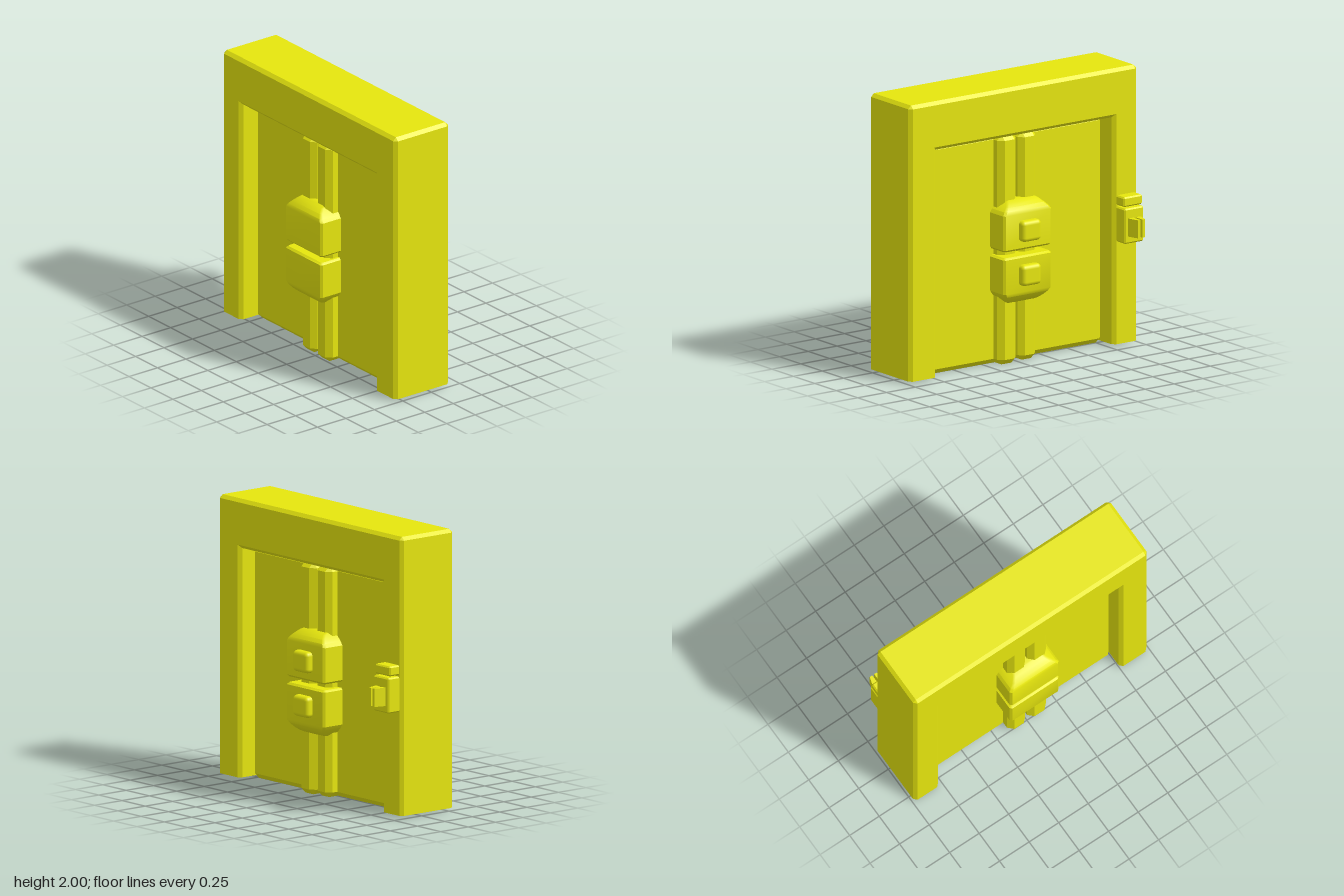
import * as THREE from 'three';
import { toCreasedNormals } from 'three/addons/utils/BufferGeometryUtils.js';
import { RoundedBoxGeometry } from 'three/addons/geometries/RoundedBoxGeometry.js';
import { ConvexGeometry } from 'three/addons/geometries/ConvexGeometry.js';

const yellow = new THREE.MeshStandardMaterial({ color: 0xe6e60e, side: THREE.DoubleSide });
yellow.name = 'yellow';

const MID_Z = 0.0675; // middle of the wall thickness

// Skin over a list of rings (arrays of Vector3), optionally closed at the ends
function loft(rings, capped, crease) {
  const p = [];
  const tri = (a, b, c) => {
    if (a.equals(b) || b.equals(c) || c.equals(a)) return;
    for (const q of [a, b, c]) p.push(q.x, q.y, q.z);
  };
  const n = rings[0].length;
  for (let i = 0; i < rings.length - 1; i++) {
    for (let j = 0; j < n; j++) {
      const k = (j + 1) % n;
      const [a, b, c, d] = [rings[i][j], rings[i][k], rings[i + 1][k], rings[i + 1][j]];
      tri(a, b, c);
      tri(a, c, d);
    }
  }
  if (capped) {
    const lo = rings[0], hi = rings[rings.length - 1];
    for (let j = 1; j < n - 1; j++) {
      tri(lo[0], lo[j + 1], lo[j]);
      tri(hi[0], hi[j], hi[j + 1]);
    }
  }
  const g = new THREE.BufferGeometry();
  g.setAttribute('position', new THREE.Float32BufferAttribute(p, 3));
  g.computeVertexNormals();
  return crease ? toCreasedNormals(g, crease) : g;
}

// Box given by its limits, with every edge chamfered by c
function chamferBox(x0, x1, y0, y1, z0, z1, c) {
  const h = [(x1 - x0) / 2, (y1 - y0) / 2, (z1 - z0) / 2];
  const pts = [];
  for (const sx of [-1, 1]) for (const sy of [-1, 1]) for (const sz of [-1, 1]) {
    for (let k = 0; k < 3; k++) {
      const e = h.map((v, i) => (i === k ? v : v - c));
      pts.push(new THREE.Vector3(sx * e[0], sy * e[1], sz * e[2]));
    }
  }
  return new ConvexGeometry(pts).translate((x0 + x1) / 2, (y0 + y1) / 2, (z0 + z1) / 2);
}

// Bevelled section swept up one post, across the lintel and down the other
function frameGeometry() {
  const X = 0.9875, T = 2, B = 0.024, back = -0.173, front = 0.307;
  // each point: fraction towards the opening, bevel inset, depth
  const section = [
    [1, 0, back + B], [1, -B, back], [0, B, back], [0, 0, back + B],
    [0, 0, front - B], [0, B, front], [1, -B, front], [1, 0, front - B],
  ];
  // cutX and cutY trim the outermost corner only
  const station = (side, cutX, cutY, foot) => section.map(([f, b, z]) => {
    const outer = f === 0 && b === 0 ? B : 0;
    const x = side * (X - b - f * (side < 0 ? 0.2125 : 0.2345) - cutX * outer);
    return new THREE.Vector3(x, foot ? 0.02 : T - b - f * 0.35 - cutY * outer, z);
  });
  return loft([
    station(-1, 0, 0, true), station(-1, 0, 1), station(-1, 1, 0),
    station(1, 1, 0), station(1, 0, 1), station(1, 0, 0, true),
  ], false);
}

// Clamp block: cut corners at the sides, rounded over towards the top
function lockGeometry() {
  const levels = [
    [0, 0.194, 0.273], [0.014, 0.2075, 0.2875], [0.26, 0.2075, 0.2875], [0.285, 0.19, 0.278],
    [0.31, 0.166, 0.258], [0.335, 0.14, 0.228], [0.35, 0.122, 0.195],
  ];
  const rings = levels.map(([y, w, d]) => {
    const c = 0.015;
    return [
      [w, d - c], [w, c - d], [w - c, -d], [c - w, -d],
      [-w, c - d], [-w, d - c], [c - w, d], [w - c, d],
    ].map(([x, z]) => new THREE.Vector3(x, y, z));
  });
  return loft(rings, true, 0.6);
}

export function createModel() {
  const model = new THREE.Group();
  const add = (name, geometry, parent = model) => {
    const mesh = new THREE.Mesh(geometry, yellow);
    mesh.name = name;
    parent.add(mesh);
    return mesh;
  };

  add('doorFrame', frameGeometry());

  // Two sliding doors, each with a thick strip along the meeting edge
  const doors = [
    ['rightDoor', -0.775, -0.03, -0.155, 0, 0.01],
    ['leftDoor', 0.05, 0.768, 0.015, 0.175, 0.003],
  ];
  for (const [name, p0, p1, s0, s1, y0] of doors) {
    const door = new THREE.Group();
    door.name = name;
    model.add(door);
    add('doorPanel', chamferBox(p0, p1, y0, 1.653, MID_Z - 0.12, MID_Z + 0.115, 0.037), door);
    add('edgeStrip', chamferBox(s0, s1, y0, 1.653, MID_Z - 0.2, MID_Z + 0.2, 0.038), door);
  }

  // Clamp blocks around the strips, the lower one turned over
  const upper = add('upperLock', lockGeometry());
  upper.position.set(-0.0025, 0.837, MID_Z);
  const lower = add('lowerLock', lockGeometry());
  lower.position.set(-0.0025, 0.795, MID_Z);
  lower.rotation.z = Math.PI;

  // Rounded buttons on the back of the clamps
  for (const [name, y] of [['upperButton', 0.975], ['lowerButton', 0.658]]) {
    add(name, new RoundedBoxGeometry(0.165, 0.15, 0.1, 3, 0.03)).position.set(-0.003, y, -0.222);
  }

  // Control box on the back of the frame
  const control = new THREE.Group();
  control.name = 'controlBox';
  model.add(control);
  add('controlBody', chamferBox(-0.965, -0.8, 0.758, 1.01, -0.273, -0.15, 0.01), control);
  add('controlCap', chamferBox(-0.963, -0.802, 1.02, 1.09, -0.26, -0.15, 0.01), control);

  // Pair of tapered prongs with a slot between them
  for (const side of [-1, 1]) {
    const s = new THREE.Shape([
      [0.008, 0.265], [0.056, 0.265], [0.03, 0.355], [0.008, 0.355],
    ].map(([x, y]) => new THREE.Vector2(side * x, y)));
    const g = new THREE.ExtrudeGeometry(s, { depth: 0.13, bevelEnabled: false });
    g.rotateX(-Math.PI / 2).translate(-0.882, 0.81, 0);
    add('prong', g, control);
  }

  return model;
}
